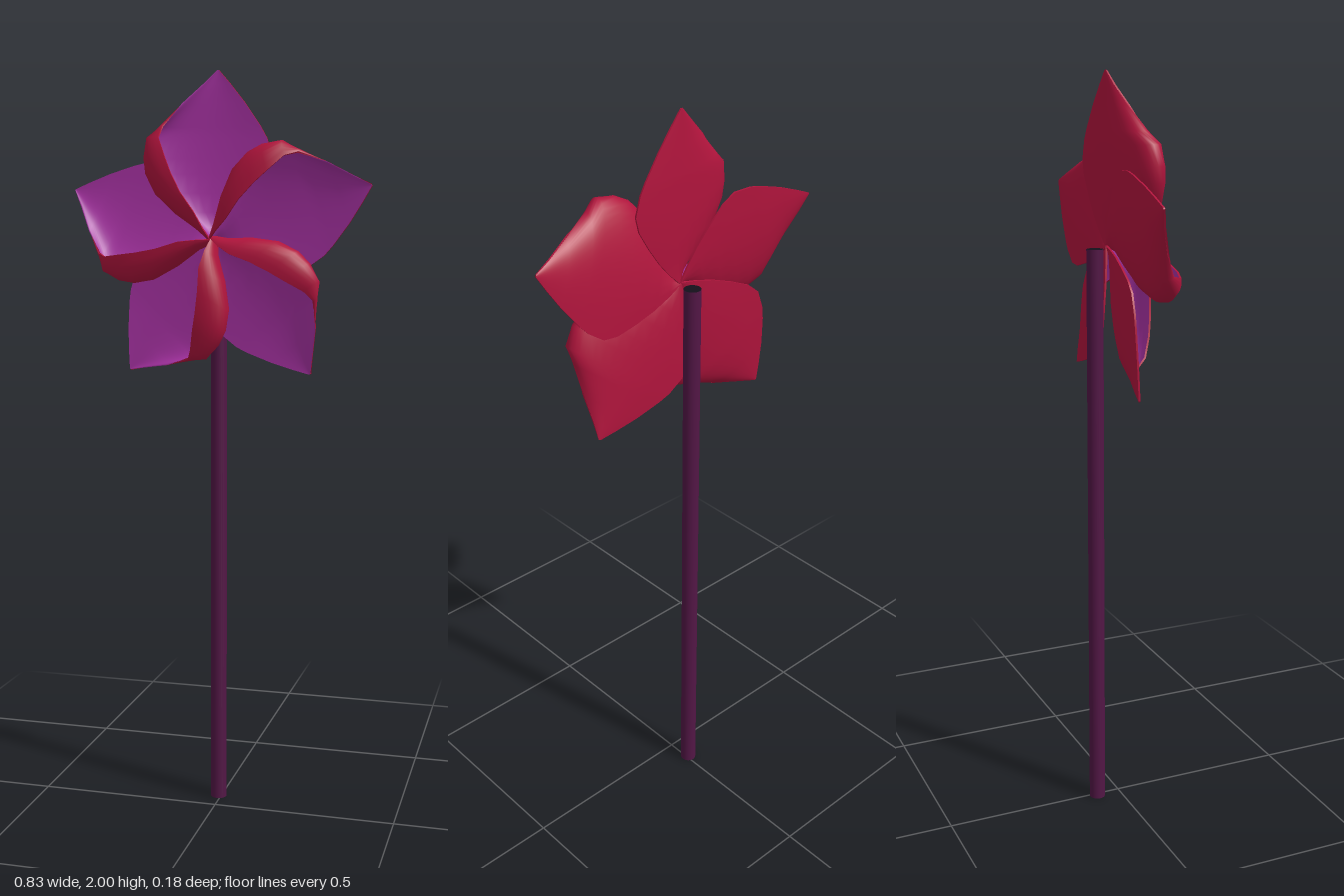
import * as THREE from 'three';

const REACH = 0.435, COLS = 18, THICK = 0.005;

// Blade sections from hub to tip:
// [distance, open edge x, curl control x, folded edge x, fold height]
const SECTIONS = [
  [0, 0.005, -0.008, 0, 0.06],
  [0.03, 0.035, -0.05, -0.012, 0.09],
  [0.07, 0.07, -0.127, -0.03, 0.11],
  [0.12, 0.105, -0.193, -0.065, 0.12],
  [0.17, 0.135, -0.223, -0.092, 0.12],
  [0.21, 0.145, -0.226, -0.11, 0.115],
  [0.26, 0.13, -0.205, -0.133, 0.1],
  [0.29, 0.113, -0.15, -0.132, 0.07],
  [0.35, 0.072, -0.075, -0.09, 0.04],
  [0.4, 0.032, -0.03, -0.038, 0.015],
  [REACH, 0.002, 0, -0.002, 0.001],
];

function makeGeometry(positions, index) {
  const geo = new THREE.BufferGeometry();
  geo.setAttribute('position', new THREE.Float32BufferAttribute(positions, 3));
  geo.setIndex(index);
  geo.computeVertexNormals();
  return geo;
}

// Inner face, outer face and rim of one curled blade pointing up
function bladeGeometries() {
  const n = COLS + 1, rows = SECTIONS.length;
  const inner = [], index = [], flipped = [];
  for (const [u, open, curl, fold, h] of SECTIONS) {
    const dip = -0.014 * Math.sin(Math.PI * u / REACH);
    const section = new THREE.CubicBezierCurve(
      new THREE.Vector2(open, dip), new THREE.Vector2(curl, dip),
      new THREE.Vector2(curl, dip + h), new THREE.Vector2(fold, dip + h));
    for (let j = 0; j <= COLS; j++) {
      const p = section.getPoint(j / COLS);
      inner.push(p.x, u, p.y);
    }
  }
  for (let i = 0; i < rows - 1; i++) {
    for (let j = 0; j < COLS; j++) {
      const a = i * n + j, b = a + n;
      index.push(a, b, a + 1, a + 1, b, b + 1);
      flipped.push(a, a + 1, b, a + 1, b + 1, b);
    }
  }
  const innerGeo = makeGeometry(inner, index);
  const normals = innerGeo.attributes.normal.array;
  const outer = inner.map((v, k) => v - normals[k] * THICK);

  // Walk round the border and join the two faces
  const loop = [];
  for (let i = 0; i < rows - 1; i++) loop.push(i * n);
  for (let j = 0; j < COLS; j++) loop.push((rows - 1) * n + j);
  for (let i = rows - 1; i > 0; i--) loop.push(i * n + COLS);
  for (let j = COLS; j > 0; j--) loop.push(j);
  const rim = [], rimIndex = [];
  loop.forEach((v, k) => {
    rim.push(...inner.slice(v * 3, v * 3 + 3), ...outer.slice(v * 3, v * 3 + 3));
    const a = 2 * k, b = 2 * ((k + 1) % loop.length);
    rimIndex.push(a, a + 1, b, a + 1, b + 1, b);
  });
  return { innerGeo, outerGeo: makeGeometry(outer, flipped), rimGeo: makeGeometry(rim, rimIndex) };
}

export function createModel() {
  const model = new THREE.Group();
  model.name = 'pinwheel';
  const purple = new THREE.MeshStandardMaterial({ color: 0xa832a4 });
  const red = new THREE.MeshStandardMaterial({ color: 0xb0143c });
  const plum = new THREE.MeshStandardMaterial({ color: 0x521645 });
  const dark = new THREE.MeshStandardMaterial({ color: 0x14101a });

  const add = (parent, name, geo, material) => {
    const mesh = new THREE.Mesh(geo, material);
    mesh.name = name;
    parent.add(mesh);
    return mesh;
  };

  // Stick with a dark top end
  const stick = add(model, 'stick', new THREE.CylinderGeometry(0.022, 0.022, 1.56, 24), [plum, dark, plum]);
  stick.position.set(-0.007, 0.78, -0.067);

  // Wheel of five curled blades, turned slightly to one side
  const wheel = new THREE.Group();
  wheel.name = 'wheel';
  wheel.position.set(0, 1.565, -0.03);
  wheel.rotation.y = -0.08;
  model.add(wheel);

  const { innerGeo, outerGeo, rimGeo } = bladeGeometries();
  for (let k = 0; k < 5; k++) {
    const blade = new THREE.Group();
    blade.name = 'blade' + (k + 1);
    blade.rotation.z = k * Math.PI * 2 / 5;
    add(blade, 'bladeInside', innerGeo, purple);
    add(blade, 'bladeOutside', outerGeo, red);
    add(blade, 'bladeRim', rimGeo, red);
    wheel.add(blade);
  }
  return model;
}
